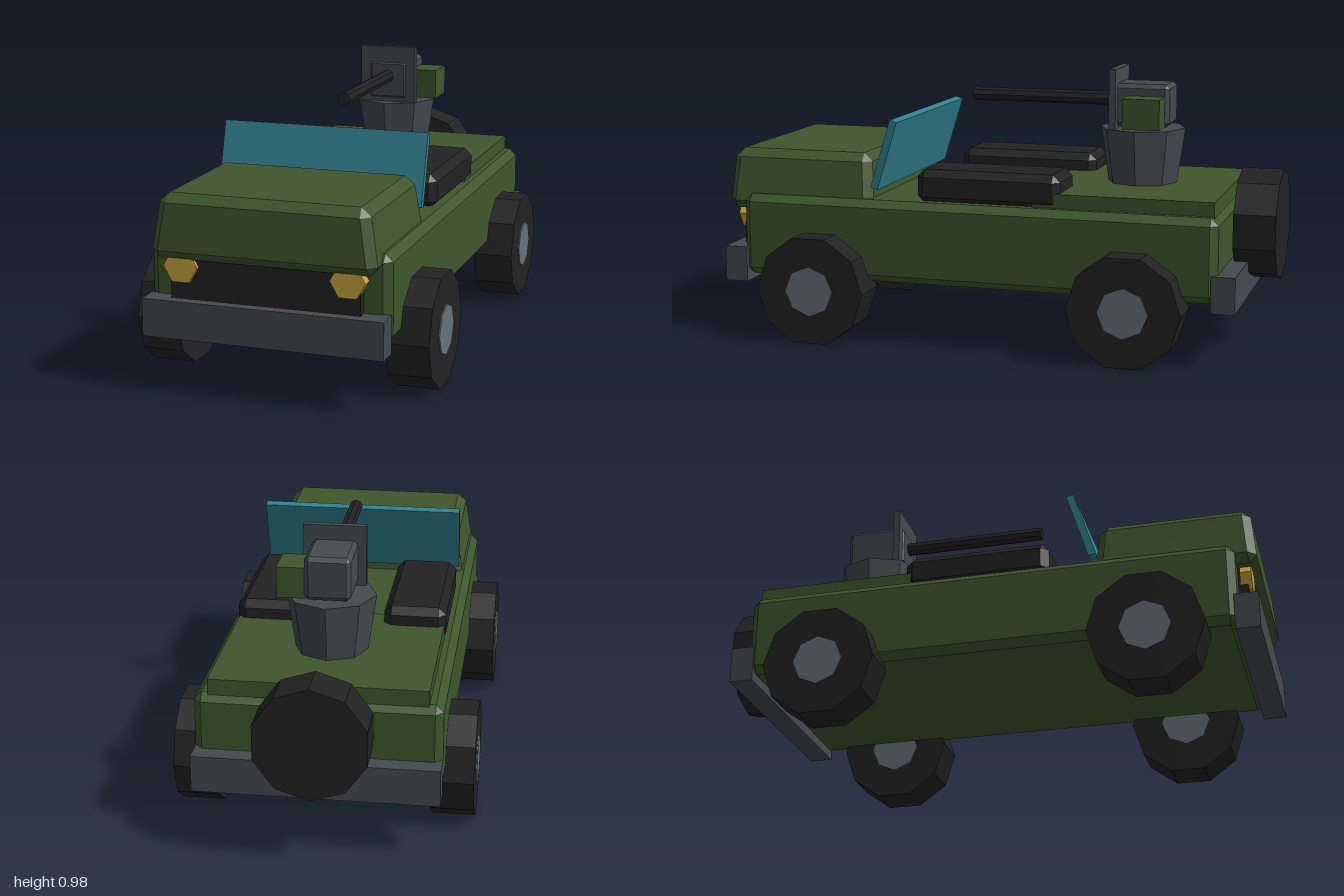
import * as THREE from 'three';
import { ConvexGeometry } from 'three/addons/geometries/ConvexGeometry.js';

const paint = (name, color) => {
  const m = new THREE.MeshStandardMaterial({ color });
  m.name = name;
  return m;
};

// box with chamfered edges; taper shrinks the top in x and z
function chamferBox(w, h, d, c, taperX = 0, taperZ = 0) {
  const pts = [];
  for (const sx of [-1, 1]) for (const sy of [-1, 1]) for (const sz of [-1, 1]) {
    for (let axis = 0; axis < 3; axis++) {
      const half = [w / 2, h / 2, d / 2].map((v, i) => (i === axis ? v : v - c));
      const t = (sy * half[1]) / h + 0.5;
      pts.push(new THREE.Vector3(sx * (half[0] - taperX * t), sy * half[1], sz * (half[2] - taperZ * t)));
    }
  }
  return new ConvexGeometry(pts);
}

// low-poly cylinder with flat sides
function drum(rTop, rBottom, length, sides) {
  const g = new THREE.CylinderGeometry(rTop, rBottom, length, sides).toNonIndexed();
  g.computeVertexNormals();
  return g;
}

export function createModel() {
  const green = paint('olive green', 0x3f562d);
  const rubber = paint('black rubber', 0x222222);
  const steel = paint('gunmetal', 0x454a4f);
  const hubGrey = paint('hub grey', 0x67707a);
  const glass = paint('teal glass', 0x31818e);
  const amber = paint('amber lamp', 0xc9a840);

  const model = new THREE.Group();
  model.name = 'gunTruck';
  const add = (name, geometry, material, x, y, z, parent = model) => {
    const mesh = new THREE.Mesh(geometry, material);
    mesh.name = name;
    mesh.position.set(x, y, z);
    parent.add(mesh);
    return mesh;
  };

  // body, hood and rear deck
  add('body', chamferBox(0.84, 0.3, 1.76, 0.027), green, 0, 0.37, 0.045);
  add('hood', chamferBox(0.79, 0.22, 0.57, 0.03, 0.035, 0.018), green, 0, 0.57, 0.715);
  add('rearDeck', new THREE.BoxGeometry(0.744, 0.07, 0.65), green, 0, 0.535, -0.49);

  // grille, headlights and bumpers
  add('grille', new THREE.BoxGeometry(0.66, 0.22, 0.06), rubber, 0, 0.37, 0.93);
  for (const s of [-1, 1]) {
    const lamp = drum(0.061, 0.061, 0.04, 6).rotateY(Math.PI / 6).rotateX(Math.PI / 2);
    add(s > 0 ? 'leftHeadlight' : 'rightHeadlight', lamp, amber, s * 0.29, 0.434, 0.953);
  }
  for (const [name, z] of [['frontBumper', 0.957], ['rearBumper', -0.857]]) {
    add(name, new THREE.BoxGeometry(0.84, 0.13, 0.085), steel, 0, 0.257, z);
  }

  // tilted windshield
  const shield = add('windshield', new THREE.BoxGeometry(0.754, 0.26, 0.028), glass, 0, 0.681, 0.387);
  shield.rotation.x = -0.3;

  // seats and wheels, mirrored
  for (const s of [-1, 1]) {
    const side = s > 0 ? 'left' : 'right';
    add(side + 'Seat', chamferBox(0.223, 0.125, 0.53, 0.027), rubber, s * 0.266, 0.572, 0);
    for (const [end, z] of [['Front', 0.625], ['Rear', -0.53]]) {
      const wheel = new THREE.Group();
      wheel.name = side + end + 'Wheel';
      wheel.position.set(s * 0.445, 0.195, z);
      add('tyre', drum(0.203, 0.203, 0.15, 10).rotateZ(Math.PI / 2), rubber, 0, 0, 0, wheel);
      add('hub', drum(0.09, 0.09, 0.155, 8).rotateZ(Math.PI / 2), hubGrey, s * 0.002, 0, 0, wheel);
      model.add(wheel);
    }
  }
  add('spareTyre', drum(0.2, 0.2, 0.15, 10).rotateX(Math.PI / 2), rubber, 0, 0.437, -0.925);

  // gun mount
  const mount = new THREE.Group();
  mount.name = 'gunMount';
  model.add(mount);
  add('pedestal', drum(0.157, 0.128, 0.2, 8), steel, 0, 0.67, -0.483, mount);
  add('receiver', chamferBox(0.16, 0.155, 0.22, 0.015), steel, 0, 0.855, -0.483, mount);
  add('gunShield', new THREE.BoxGeometry(0.22, 0.22, 0.025), steel, 0, 0.876, -0.391, mount);
  add('barrel', drum(0.025, 0.025, 0.56, 8).rotateX(Math.PI / 2), rubber, 0, 0.87, -0.12, mount);
  add('ammoBox', new THREE.BoxGeometry(0.105, 0.11, 0.135), green, 0.123, 0.835, -0.51, mount);

  return model;
}
